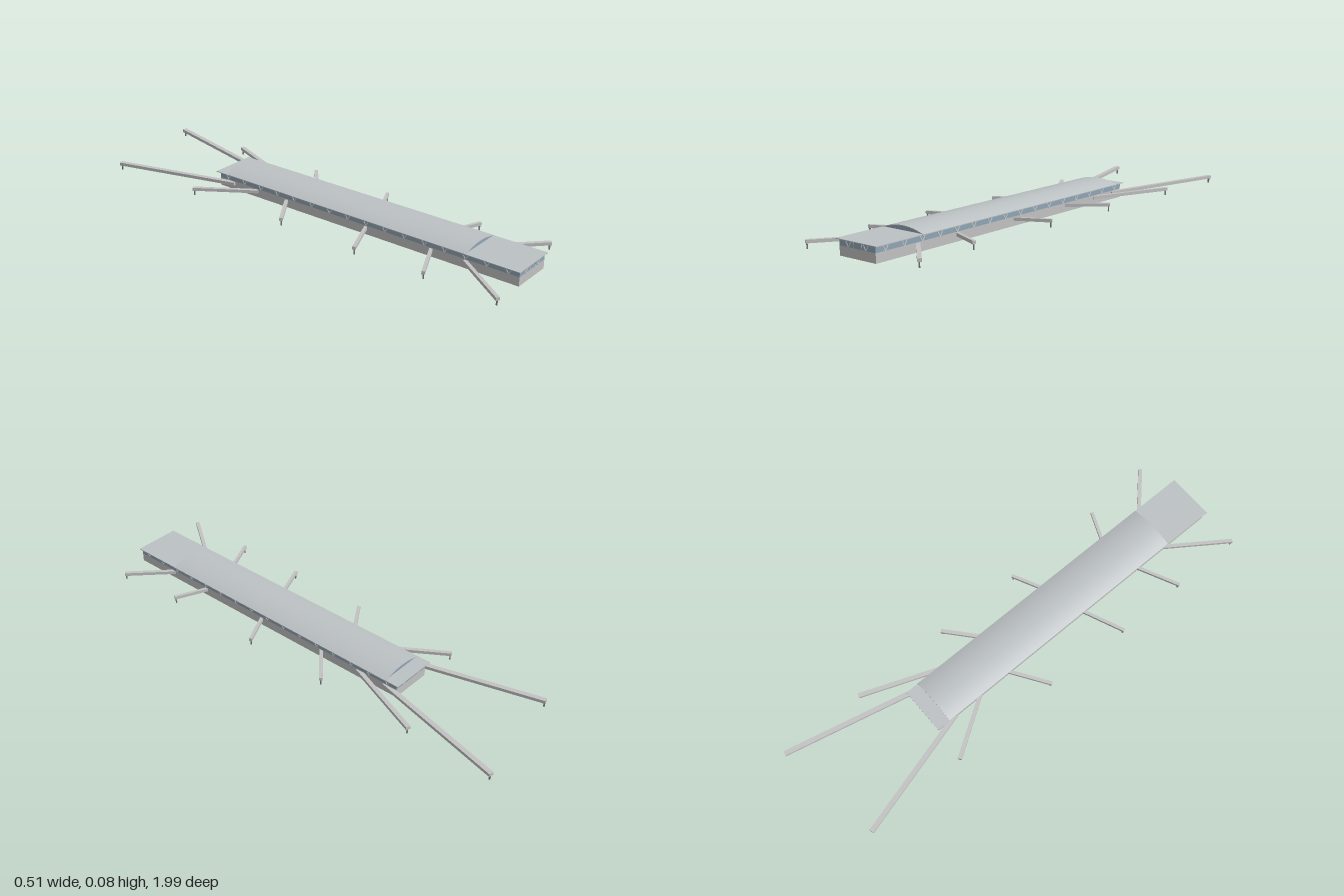
import * as THREE from 'three';
import { toCreasedNormals } from 'three/addons/utils/BufferGeometryUtils.js';

const mat = (name, color) => {
  const m = new THREE.MeshStandardMaterial({ color });
  m.name = name;
  return m;
};

export function createModel() {
  const model = new THREE.Group();
  model.name = 'terminal';
  const concrete = mat('concrete grey', 0xc2c2c2);
  const roofing = mat('roof grey', 0xbcc1c3);
  const glass = mat('blue glass', 0x8fa5b6);
  const steel = mat('light steel', 0xc8ccce);
  const legGrey = mat('leg grey', 0x75787a);

  const add = (name, geo, material, parent = model) => {
    const mesh = new THREE.Mesh(geo, material);
    mesh.name = name;
    parent.add(mesh);
    return mesh;
  };
  const box = (name, material, x0, x1, y0, y1, z0, z1) =>
    add(name, new THREE.BoxGeometry(x1 - x0, y1 - y0, z1 - z0), material)
      .position.set((x0 + x1) / 2, (y0 + y1) / 2, (z0 + z1) / 2);

  const CX = 0.005, X0 = -0.085, X1 = 0.095, Z0 = -0.465, Z1 = 0.978;
  const ARCH0 = -0.42, ARCH1 = 0.76, SILL = 0.037, EAVE = 0.06;

  // Walls around three rooms, open at the bottom
  const rect = (P, x0, x1, z0, z1) => {
    const p = new P();
    p.moveTo(x0, -z1).lineTo(x1, -z1).lineTo(x1, -z0).lineTo(x0, -z0).closePath();
    return p;
  };
  const plan = rect(THREE.Shape, X0, X1, Z0, Z1);
  const t = 0.004;
  [[Z0 + t, ARCH0], [ARCH0 + t, ARCH1 - t], [ARCH1, Z1 - t]].forEach(([a, b]) =>
    plan.holes.push(rect(THREE.Path, X0 + t, X1 - t, a, b)));
  const walls = (name, material, y0, y1) => {
    const geo = new THREE.ExtrudeGeometry(plan, { depth: y1 - y0, bevelEnabled: false });
    geo.rotateX(-Math.PI / 2).translate(0, y0, 0);
    add(name, geo, material);
  };
  walls('lowerWalls', concrete, 0, SILL);
  walls('windowWalls', glass, SILL, EAVE + 0.002);

  // Flat roofs at both ends
  const RX0 = -0.097, RX1 = 0.105;
  box('frontFlatRoof', roofing, RX0, RX1, EAVE, 0.063, ARCH1 - 0.008, 0.985);
  box('backFlatRoof', roofing, RX0, RX1, EAVE, 0.063, -0.478, ARCH0 + 0.008);

  // Arched main roof with glazed ends
  const half = 0.101, rise = 0.019;
  const R = (half * half + rise * rise) / (2 * rise);
  const arc = (y) => Array.from({ length: 25 }, (_, i) => {
    const a = (i / 12 - 1) * Math.asin(half / R);
    return new THREE.Vector2(CX + R * Math.sin(a), y + rise - R + R * Math.cos(a));
  });
  const extrudeZ = (points, z0, z1) => new THREE.ExtrudeGeometry(
    new THREE.Shape(points), { depth: z1 - z0, bevelEnabled: false }).translate(0, 0, z0);
  add('archedRoof', toCreasedNormals(
    extrudeZ([...arc(EAVE), ...arc(0.063).reverse()], ARCH0, ARCH1), 0.5), roofing);
  add('frontArchGlass', extrudeZ(arc(0.0605), ARCH1 - 0.006, ARCH1 - 0.003), glass);
  add('backArchGlass', extrudeZ(arc(0.0605), ARCH0 + 0.003, ARCH0 + 0.006), glass);

  // V braces laid on the glazing
  const brace = (x, z, turn) => {
    const g = new THREE.Group();
    g.name = 'windowBrace';
    g.position.set(x, (SILL + EAVE) / 2, z);
    g.rotation.y = turn;
    for (const s of [-1, 1]) {
      const bar = add('braceBar', new THREE.BoxGeometry(0.004, 0.026, 0.003), steel, g);
      bar.position.x = s * 0.0075;
      bar.rotation.z = -s * 0.55;
    }
    model.add(g);
  };
  for (const dx of [-0.045, 0.042]) {
    brace(CX + dx, Z1, 0);
    brace(CX + dx, Z0, Math.PI);
  }
  for (const x of [-0.012, 0.025])
    for (const z of [Z0, Z1])
      box('mullion', steel, x - 0.0008, x + 0.0008, SILL, EAVE, z - 0.001, z + 0.001);
  const count = 16, step = (Z1 - Z0) / count;
  for (let i = 0; i < count; i++) {
    const z = Z0 + (i + 0.5) * step;
    brace(X1, z, Math.PI / 2);
    brace(X0, z, -Math.PI / 2);
  }

  // Boarding bridges: root x, root z, tip x, tip z, width
  const bridges = [
    [-0.095, -0.42, -0.235, -0.925, 0.02], [-0.095, -0.27, -0.235, -0.485, 0.016],
    [-0.095, -0.095, -0.235, -0.003, 0.014], [-0.095, 0.305, -0.255, 0.372, 0.013],
    [-0.095, 0.608, -0.255, 0.683, 0.013], [-0.095, 0.765, -0.253, 0.99, 0.015],
    [0.1, -0.445, 0.23, -0.996, 0.02], [0.1, -0.295, 0.23, -0.628, 0.018],
    [0.1, -0.088, 0.23, -0.2, 0.015], [0.1, 0.242, 0.228, 0.18, 0.013],
    [0.1, 0.572, 0.228, 0.628, 0.013], [0.1, 0.78, 0.248, 0.925, 0.016],
  ];
  for (const [rx, rz, tx, tz, w] of bridges) {
    const dx = tx - rx, dz = tz - rz, len = Math.hypot(dx, dz);
    const total = len * (1 + 0.01 / Math.abs(dx));
    const g = new THREE.Group();
    g.name = 'boardingBridge';
    g.position.set(tx, 0, tz);
    g.rotation.y = Math.atan2(dx, dz);
    add('bridgeTunnel', new THREE.BoxGeometry(w, 0.013, total), concrete, g)
      .position.set(0, 0.0275, -total / 2);
    add('bridgeLeg', new THREE.BoxGeometry(0.005, 0.021, 0.005), legGrey, g)
      .position.set(0, 0.0105, -0.006);
    model.add(g);
  }
  return model;
}
